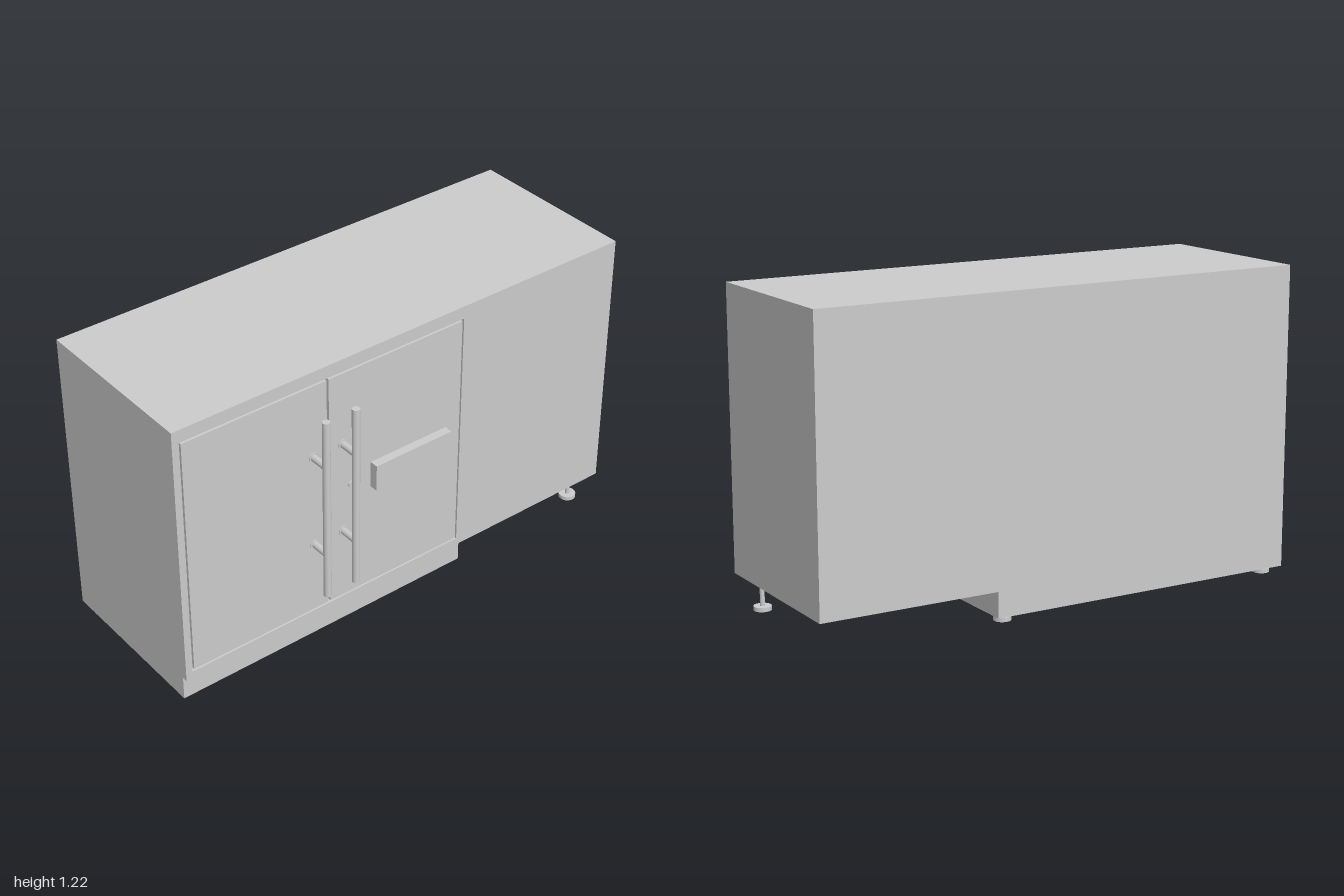
import * as THREE from 'three';

const material = new THREE.MeshStandardMaterial({ color: 0xcccccc });

const FRONT = 0.31, BACK = -0.4, GROOVE = 0.02;

function add(parent, name, geometry, x = 0, y = 0, z = 0) {
  const mesh = new THREE.Mesh(geometry, material);
  mesh.name = name;
  mesh.position.set(x, y, z);
  parent.add(mesh);
  return mesh;
}

// Box given by its limits on each axis
function block(parent, name, x0, x1, y0, y1, z0, z1) {
  return add(parent, name, new THREE.BoxGeometry(x1 - x0, y1 - y0, z1 - z0),
    (x0 + x1) / 2, (y0 + y1) / 2, (z0 + z1) / 2);
}

// Upright cylinder from y0 to y1
function post(parent, name, r, x, y0, y1, z) {
  return add(parent, name, new THREE.CylinderGeometry(r, r, y1 - y0, 32), x, (y0 + y1) / 2, z);
}

// Cylinder pointing forward from z0 to z1
function peg(parent, name, r, x, y, z0, z1) {
  const mesh = add(parent, name, new THREE.CylinderGeometry(r, r, z1 - z0, 32), x, y, (z0 + z1) / 2);
  mesh.rotation.x = Math.PI / 2;
  return mesh;
}

function rectangle(path, x0, x1, y0, y1) {
  path.moveTo(x0, y0);
  path.lineTo(x1, y0);
  path.lineTo(x1, y1);
  path.lineTo(x0, y1);
  path.closePath();
  return path;
}

// Levelling foot: flat disc with a threaded-rod stem
function foot(parent, name, x, z, top) {
  const group = new THREE.Group();
  group.name = name;
  post(group, 'footDisc', 0.034, x, 0, 0.016, z);
  post(group, 'footStem', 0.009, x, 0.016, top, z);
  parent.add(group);
}

// Bar handle on two flanged standoffs
function handle(parent, name, x) {
  const group = new THREE.Group();
  group.name = name;
  post(group, 'handleBar', 0.015, x, 0.28, 1.05, 0.385);
  for (const y of [0.47, 0.857]) {
    peg(group, 'standoff', 0.014, x, y, FRONT, 0.38);
    peg(group, 'standoffFlange', 0.02, x, y, FRONT, FRONT + 0.004);
  }
  parent.add(group);
}

export function createModel() {
  const model = new THREE.Group();
  model.name = 'cabinet';

  // Cabinet body, with a front frame around the door opening
  block(model, 'body', -1, 1, 0.13, 1.215, BACK, FRONT - GROOVE);
  const frame = rectangle(new THREE.Shape(), -1, 1, 0.13, 1.215);
  frame.holes.push(rectangle(new THREE.Path(), -0.972, 0.257, 0.16, 1.164));
  add(model, 'frontFrame',
    new THREE.ExtrudeGeometry(frame, { depth: GROOVE, bevelEnabled: false }), 0, 0, FRONT - GROOVE);

  // Doors, flush with the frame and separated by narrow gaps
  block(model, 'rightDoor', -0.965, -0.363, 0.168, 1.156, FRONT - GROOVE, FRONT);
  block(model, 'leftDoor', -0.354, 0.25, 0.168, 1.156, FRONT - GROOVE, FRONT);

  // Door fittings
  handle(model, 'rightHandle', -0.423);
  handle(model, 'leftHandle', -0.293);
  peg(model, 'keyLock', 0.012, -0.258, 0.665, FRONT, FRONT + 0.006);
  block(model, 'controlPanel', -0.167, 0.184, 0.611, 0.72, FRONT, 0.345);

  // Plinth under the door section
  block(model, 'plinth', -1, 0.29, 0.03, 0.13, BACK, 0.287);

  // Four feet under the plinth, one long leg under the overhang
  for (const x of [-0.95, 0.235])
    for (const z of [0.225, -0.335]) foot(model, 'plinthFoot', x, z, 0.03);
  foot(model, 'overhangLeg', 0.93, 0.225, 0.13);

  return model;
}
